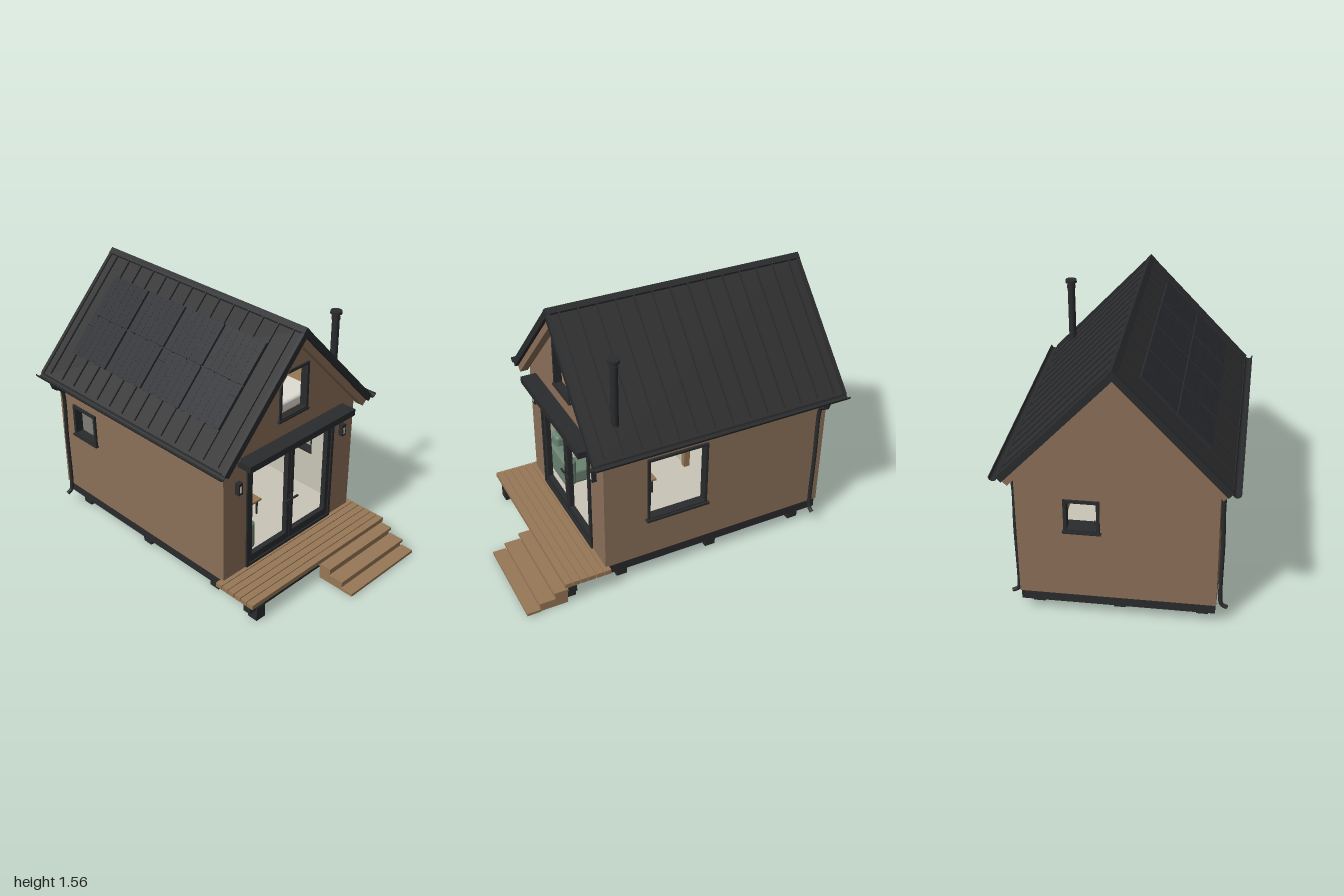
import * as THREE from 'three';
import { RoundedBoxGeometry } from 'three/addons/geometries/RoundedBoxGeometry.js';

const mat = (name, color) => {
  const m = new THREE.MeshStandardMaterial({ color });
  m.name = name;
  return m;
};

export function createModel() {
  const house = new THREE.Group();
  house.name = 'cabin';
  const clad = mat('wall cladding', 0x8b7058);
  const wood = mat('timber', 0x987856);
  const dark = mat('dark trim', 0x2a2b2d);
  const metal = mat('roof metal', 0x2f2f30);
  const solar = mat('solar panel', 0x2a2c30);
  const cream = mat('interior cream', 0xc9c6b8);
  const green = mat('sofa green', 0x6a8370);
  const linen = mat('linen', 0xe0ddd3);

  const add = (name, geo, material, parent = house) => {
    const m = new THREE.Mesh(geo, material);
    m.name = name;
    parent.add(m);
    return m;
  };
  // Box given by its minimum and maximum on each axis
  const box = (name, m, x0, x1, y0, y1, z0, z1, parent = house, round = 0) => {
    const s = [x1 - x0, y1 - y0, z1 - z0];
    const g = round ? new RoundedBoxGeometry(...s, 3, round) : new THREE.BoxGeometry(...s);
    const b = add(name, g, m, parent);
    b.position.set((x0 + x1) / 2, (y0 + y1) / 2, (z0 + z1) / 2);
    return b;
  };
  const rect = ([x0, x1, y0, y1]) => [[x0, y0], [x1, y0], [x1, y1], [x0, y1]];
  const vec = (pts) => pts.map((p) => new THREE.Vector2(...p));
  // Flat panel with rectangular holes, standing in the xy plane
  const panel = (name, m, pts, holes, z, depth, parent = house) => {
    const s = new THREE.Shape(vec(pts));
    holes.forEach((h) => s.holes.push(new THREE.Path(vec(rect(h)))));
    const p = add(name, new THREE.ExtrudeGeometry(s, { depth, bevelEnabled: false, curveSegments: 8 }), m, parent);
    p.position.z = z;
    return p;
  };
  // The same panel turned so its width runs along z; x is its +x face
  const sidePanel = (name, m, pts, holes, x, depth) => {
    const p = panel(name, m, pts, holes, 0, depth);
    p.rotation.y = -Math.PI / 2;
    p.position.x = x;
  };
  const inset = ([a, b, c, d], t) => [a + t, b - t, c + t, d - t];

  // Openings as [min, max, bottom, top]
  const door = [-0.36, 0.36, 0.145, 0.82];
  const loftWin = [-0.115, 0.115, 1.0, 1.295];
  const backWin = [0.087, 0.28, 0.555, 0.757];
  const rightWin = [-0.13, 0.245, 0.395, 0.81];
  const leftWin = [-0.78, -0.57, 0.55, 0.757];

  // Walls with thin pale linings
  const gable = [[-0.535, 0.14], [0.535, 0.14], [0.535, 0.93], [0, 1.497], [-0.535, 0.93]];
  const side = rect([-0.874, 0.467, 0.14, 0.93]);
  panel('frontWall', clad, gable, [door, loftWin], 0.467, 0.04);
  panel('backWall', clad, gable, [backWin], -0.914, 0.04);
  sidePanel('rightWall', clad, side, [rightWin], 0.535, 0.04);
  sidePanel('leftWall', clad, side, [leftWin], -0.495, 0.04);
  const lining = rect([-0.869, 0.46, 0.15, 0.92]);
  panel('backLining', cream, rect([-0.49, 0.49, 0.15, 0.92]), [backWin], -0.874, 0.004);
  panel('frontLining', cream, rect([-0.49, 0.49, 0.146, 0.92]), [[-0.36, 0.36, 0.147, 0.82]], 0.462, 0.004);
  sidePanel('rightLining', cream, lining, [rightWin], 0.494, 0.004);
  sidePanel('leftLining', cream, lining, [leftWin], -0.49, 0.004);

  // Window frames and sills
  panel('loftWindowFrame', dark, rect(loftWin), [inset(loftWin, 0.016)], 0.47, 0.047);
  box('loftSill', dark, -0.122, 0.122, 0.996, 1.008, 0.5, 0.522);
  panel('backWindowFrame', dark, rect(backWin), [inset(backWin, 0.018)], -0.923, 0.05);
  box('backSill', dark, 0.08, 0.287, 0.55, 0.562, -0.93, -0.905);
  sidePanel('rightWindowFrame', dark, rect(rightWin), [inset(rightWin, 0.014)], 0.55, 0.055);
  box('rightSill', dark, 0.53, 0.562, 0.388, 0.402, -0.14, 0.255);
  sidePanel('leftWindowFrame', dark, rect(leftWin), [inset(leftWin, 0.018)], -0.495, 0.053);
  box('leftSill', dark, -0.556, -0.53, 0.545, 0.557, -0.787, -0.563);

  // Glazed double doors with lever handles, canopy and wall lamps
  panel('doorFrame', dark, rect(door), [inset(door, 0.018)], 0.468, 0.05);
  for (const s of [-1, 1]) {
    const leaf = s > 0 ? [0.002, 0.342, 0.163, 0.802] : [-0.342, -0.002, 0.163, 0.802];
    const glass = s > 0 ? [0.026, 0.313, 0.21, 0.78] : [-0.313, -0.026, 0.21, 0.78];
    panel('doorLeaf', dark, rect(leaf), [glass], 0.478, 0.032);
    box('handlePlate', dark, s * 0.014 - 0.005, s * 0.014 + 0.005, 0.415, 0.475, 0.51, 0.515);
    box('doorHandle', dark, s * 0.033 - 0.022, s * 0.033 + 0.022, 0.441, 0.449, 0.515, 0.526);
    box('wallLamp', dark, s * 0.43 - 0.016, s * 0.43 + 0.016, 0.69, 0.765, 0.505, 0.535);
    box('lampGlow', cream, s * 0.43 - 0.007, s * 0.43 + 0.007, 0.705, 0.745, 0.535, 0.537);
  }
  box('canopy', dark, -0.43, 0.43, 0.86, 0.9, 0.5, 0.605);

  // Roof chevrons: sheet, verge trims, ceiling and barge boards
  const chevron = (name, m, half, z, depth) =>
    panel(name, m, [...half, ...half.slice(1, -1).reverse().map(([x, y]) => [-x, y])]
      .filter((p, i, a) => a.findIndex((q) => q[0] === p[0] && q[1] === p[1]) === i), [], z, depth);
  // Mirrors a right-hand half that starts and ends on the ridge line
  const mirrorChevron = (name, m, half, z, depth) => {
    const left = half.slice(1, -1).map(([x, y]) => [-x, y]).reverse();
    return chevronMesh(name, m, [...half, ...left], z, depth);
  };
  const chevronMesh = (name, m, pts, z, depth) => panel(name, m, pts, [], z, depth);
  mirrorChevron('roofSheet', metal, [[0, 1.542], [0.6, 0.907], [0.578, 0.89], [0, 1.5]], -0.99, 1.567);
  const verge = [[0, 1.553], [0.602, 0.917], [0.575, 0.888], [0, 1.497]];
  const barge = [[0, 1.499], [0.565, 0.9], [0.595, 0.9], [0.55, 0.858], [0, 1.44]];
  for (const [zv, zb] of [[0.565, 0.515], [-1, -0.98]]) {
    mirrorChevron('vergeTrim', dark, verge, zv, 0.022);
    mirrorChevron('bargeBoard', clad, barge, zb, 0.05);
  }
  mirrorChevron('ceiling', clad, [[0, 1.501], [0.574, 0.893], [0.566, 0.887], [0, 1.487]], -0.975, 1.54);
  mirrorChevron('ridgeCap', dark, [[0, 1.556], [0.024, 1.531], [0.02, 1.515], [0, 1.525]], -1, 1.587);

  // Standing seams on each slope; local x runs along the slope
  const pitch = Math.atan(0.635 / 0.6);
  const slopes = [-1, 1].map((s) => {
    const g = new THREE.Group();
    g.name = s > 0 ? 'rightSlope' : 'leftSlope';
    g.position.y = 1.542;
    g.rotation.z = -s * pitch;
    house.add(g);
    for (let i = 0; i < 14; i++) {
      const z = 0.516 - i * 0.1107;
      box('roofSeam', dark, s > 0 ? 0.02 : -0.845, s > 0 ? 0.845 : -0.02, -0.002, 0.01, z - 0.004, z + 0.004, g);
    }
    return g;
  });
  // Solar panels, two columns of four, with cell lines
  for (let c = 0; c < 2; c++) for (let r = 0; r < 4; r++) {
    const x0 = -0.672 + c * 0.265, z0 = -0.83 + r * 0.3145;
    box('solarPanel', solar, x0, x0 + 0.258, 0.01, 0.024, z0, z0 + 0.298, slopes[0]);
    for (let i = 1; i < 4; i++)
      box('cellLine', dark, x0 + i * 0.0645 - 0.0015, x0 + i * 0.0645 + 0.0015, 0.023, 0.0255, z0, z0 + 0.298, slopes[0]);
    for (let i = 1; i < 6; i++)
      box('cellLine', dark, x0, x0 + 0.258, 0.023, 0.025, z0 + i * 0.0497 - 0.001, z0 + i * 0.0497 + 0.001, slopes[0]);
  }

  // Half-round gutters and downpipes
  for (const s of [-1, 1]) {
    const u = new THREE.Shape();
    u.absarc(0, 0, 0.023, Math.PI, 2 * Math.PI, false);
    u.absarc(0, 0, 0.018, 2 * Math.PI, Math.PI, true);
    const gutter = add('gutter', new THREE.ExtrudeGeometry(u, { depth: 1.587, bevelEnabled: false }), dark);
    gutter.position.set(s * 0.617, 0.917, -1);
    const path = new THREE.CatmullRomCurve3([[0.617, 0.895], [0.61, 0.87], [0.568, 0.842], [0.555, 0.81],
      [0.555, 0.5], [0.555, 0.13], [0.562, 0.107], [0.592, 0.09]]
      .map(([x, y]) => new THREE.Vector3(s * x, y, -0.855)));
    add('downpipe', new THREE.TubeGeometry(path, 60, 0.012, 10), dark);
    const outlet = add('gutterOutlet', new THREE.CylinderGeometry(0.022, 0.013, 0.03, 12), dark);
    outlet.position.set(s * 0.617, 0.885, -0.855);
  }

  // Flue with cap
  const flue = (name, r, y0, y1) => {
    add(name, new THREE.CylinderGeometry(r, r, y1 - y0, 20), dark).position.set(0.46, (y0 + y1) / 2, 0.4);
  };
  flue('flue', 0.022, 1.03, 1.42);
  flue('flueCollar', 0.026, 1.39, 1.405);
  flue('flueCap', 0.034, 1.425, 1.442);

  // Base, piers and deck
  box('floorBase', dark, -0.53, 0.53, 0.08, 0.141, -0.905, 0.485);
  box('floor', cream, -0.49, 0.49, 0.14, 0.15, -0.87, 0.467);
  for (const x of [-0.455, 0, 0.455]) for (const z of [0.385, -0.2, -0.785])
    box('pier', dark, x - 0.033, x + 0.033, 0, 0.085, z - 0.033, z + 0.033);
  for (const x of [-0.49, 0.49]) box('deckPost', dark, x - 0.033, x + 0.033, 0, 0.09, 0.69, 0.755);
  box('deckBeam', dark, -0.573, 0.573, 0.077, 0.117, 0.7, 0.75);
  for (let i = 0; i < 6; i++) {
    const z = 0.768 - i * 0.0475;
    box('deckPlank', wood, -0.573, 0.57, 0.117, 0.145, z - 0.043, z);
  }
  // Steps
  [[0.92, 1.0, 0.024], [0.83, 0.925, 0.064], [0.752, 0.835, 0.106]].forEach(([z0, z1, y]) => {
    box('stepBody', wood, 0.008, 0.558, 0, y - 0.015, 0.752, z1 - 0.008);
    box('stepTread', wood, 0, 0.57, y - 0.017, y, z0, z1);
  });

  // Bathroom partition and post
  box('partition', cream, -0.49, -0.12, 0.15, 0.92, -0.36, -0.34);
  box('doorPost', wood, -0.127, -0.09, 0.15, 0.92, -0.37, -0.33);

  // Sofa with cushion
  box('sofaSeat', green, -0.485, -0.21, 0.17, 0.27, -0.28, 0.41, house, 0.02);
  box('sofaBack', green, -0.488, -0.39, 0.17, 0.42, -0.3, 0.42, house, 0.025);
  for (const z of [-0.32, 0.36]) box('sofaArm', green, -0.485, -0.205, 0.165, 0.352, z, z + 0.08, house, 0.022);
  box('sofaCushion', linen, -0.39, -0.34, 0.26, 0.37, 0.22, 0.34, house, 0.02);

  // Coffee table
  box('tableTop', wood, -0.115, 0.07, 0.25, 0.262, -0.05, 0.22);
  for (const x of [-0.095, 0.05]) for (const z of [-0.03, 0.2])
    box('tableLeg', dark, x - 0.005, x + 0.005, 0.15, 0.25, z - 0.005, z + 0.005);
  add('cup', new THREE.CylinderGeometry(0.014, 0.012, 0.025, 12), dark).position.set(-0.01, 0.274, 0.1);

  // Kitchen along the back
  box('kitchenCabinet', clad, 0.075, 0.49, 0.15, 0.4, -0.87, -0.65);
  box('worktop', dark, 0.06, 0.49, 0.4, 0.438, -0.87, -0.64);
  box('cupboardDoor', wood, 0.08, 0.205, 0.16, 0.39, -0.65, -0.643);
  box('cupboardHandle', dark, 0.125, 0.16, 0.336, 0.342, -0.643, -0.635);
  for (let i = 0; i < 4; i++) {
    const y = 0.16 + i * 0.058;
    box('drawer', wood, 0.213, 0.285, y, y + 0.052, -0.65, -0.643);
    box('drawerHandle', dark, 0.232, 0.266, y + 0.03, y + 0.036, -0.643, -0.635);
  }
  box('tap', dark, 0.14, 0.148, 0.438, 0.515, -0.8, -0.79);
  box('tapSpout', dark, 0.14, 0.148, 0.507, 0.515, -0.8, -0.74);
  box('wallCupboard', wood, 0.283, 0.49, 0.59, 0.775, -0.87, -0.68);

  // Framed leaf picture on the left wall
  sidePanel('pictureFrame', wood, rect([-0.11, 0.12, 0.515, 0.67]), [[-0.102, 0.112, 0.523, 0.662]], -0.475, 0.015);
  box('pictureSheet', cream, -0.49, -0.483, 0.52, 0.665, -0.105, 0.115);
  for (let i = 0; i < 5; i++) {
    const z = 0.073 - i * 0.034;
    box('pictureLeaf', green, -0.483, -0.48, 0.565, 0.608, z - 0.003, z + 0.003).rotation.x = -0.3;
  }

  // Sleeping loft
  box('loftFloor', wood, -0.49, 0.49, 0.92, 0.965, -0.6, 0.46);
  box('mattress', linen, -0.28, 0.28, 0.965, 1.035, -0.4, 0.42, house, 0.02);
  box('blanket', linen, -0.29, 0.29, 1.02, 1.063, -0.4, 0.2, house, 0.018);
  for (const x of [-0.1, 0.1]) box('pillow', linen, x - 0.09, x + 0.09, 1.055, 1.105, -0.02, 0.12, house, 0.022);

  return house;
}
